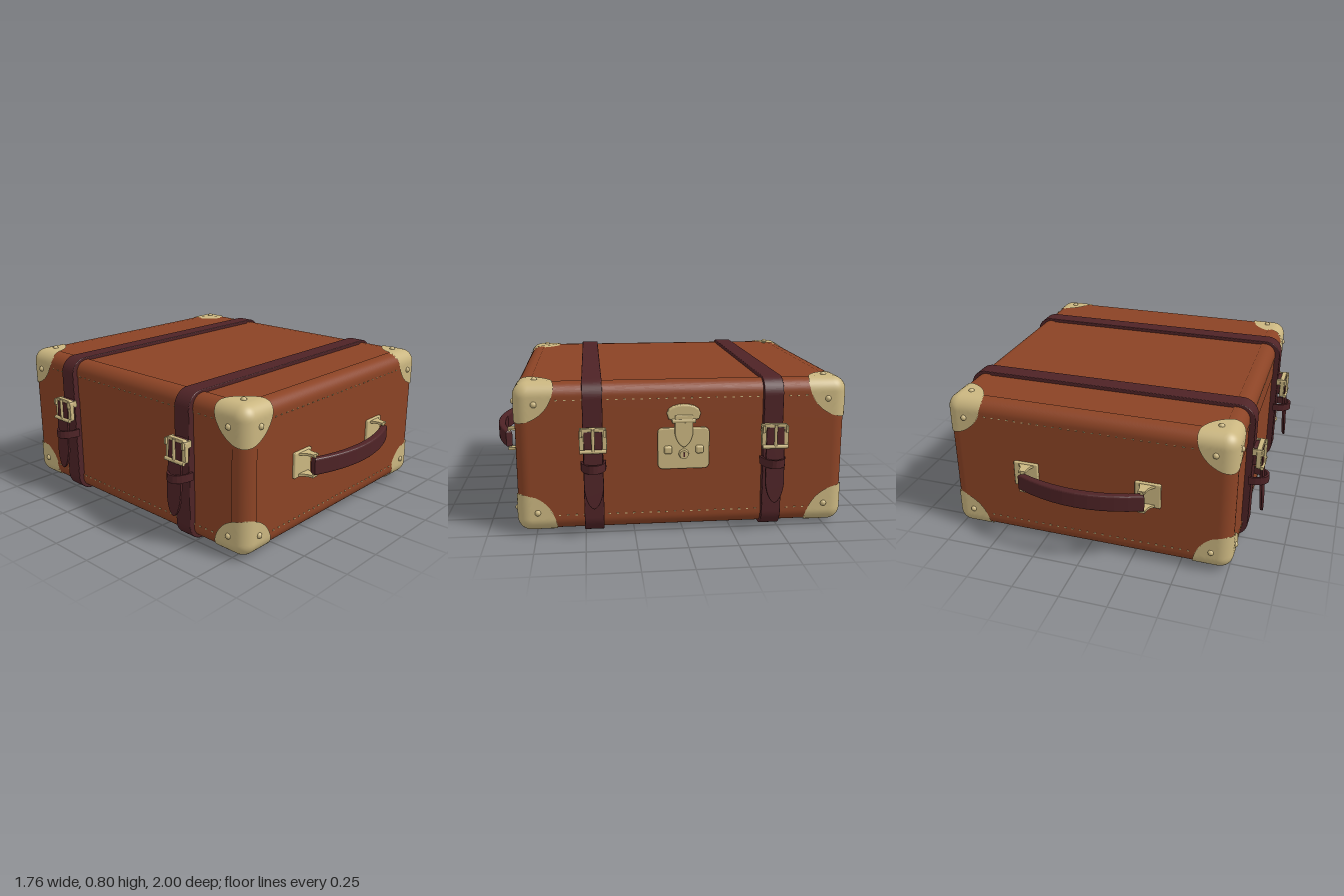
import * as THREE from 'three';
import { RoundedBoxGeometry } from 'three/addons/geometries/RoundedBoxGeometry.js';
import { mergeGeometries } from 'three/addons/utils/BufferGeometryUtils.js';

const mat = (name, color) => Object.assign(new THREE.MeshStandardMaterial({ color }), { name });
const H = [0.758, 0.375, 0.835], R = 0.06, CY = 0.39; // case half sizes, edge radius, centre height

// Wraps a grid of points of the sharp box onto the rounded case, raised by an offset.
function wrapPatch(nu, nv, fn) {
  const pos = [], nor = [], idx = [];
  for (let i = 0; i <= nu; i++) for (let j = 0; j <= nv; j++) {
    const { p, off } = fn(i / nu, j / nv, i, j);
    const q = p.map((v, k) => THREE.MathUtils.clamp(v, R - H[k], H[k] - R));
    const d = new THREE.Vector3(p[0] - q[0], p[1] - q[1], p[2] - q[2]).normalize();
    const a = d.toArray();
    pos.push(...q.map((v, k) => v + a[k] * (R + off)));
    nor.push(...a);
  }
  const at = (arr, i) => new THREE.Vector3().fromArray(arr, i * 3);
  const tri = (a, b, c) => {
    const A = at(pos, a);
    const n = at(pos, b).sub(A).cross(at(pos, c).sub(A));
    idx.push(...(n.dot(at(nor, a)) >= 0 ? [a, b, c] : [a, c, b]));
  };
  const w = nv + 1;
  for (let i = 0; i < nu; i++) for (let j = 0; j < nv; j++) {
    const a = i * w + j;
    tri(a, a + 1, a + w + 1);
    tri(a, a + w + 1, a + w);
  }
  const g = new THREE.BufferGeometry();
  g.setAttribute('position', new THREE.Float32BufferAttribute(pos, 3));
  g.setAttribute('normal', new THREE.Float32BufferAttribute(nor, 3));
  g.setIndex(idx);
  return g.translate(0, CY, 0);
}

function roundRect(w, h, r, cx = 0, cy = 0, Kind = THREE.Shape) {
  const s = new Kind(), x = w / 2 - r, y = h / 2 - r;
  s.absarc(cx + x, cy + y, r, 0, Math.PI / 2);
  s.absarc(cx - x, cy + y, r, Math.PI / 2, Math.PI);
  s.absarc(cx - x, cy - y, r, Math.PI, Math.PI * 1.5);
  s.absarc(cx + x, cy - y, r, Math.PI * 1.5, Math.PI * 2);
  s.closePath();
  return s;
}
const extrude = (shape, depth, bevel = 0) => new THREE.ExtrudeGeometry(shape, {
  depth: depth - 2 * bevel, bevelEnabled: bevel > 0, bevelSize: bevel, bevelThickness: bevel,
  bevelSegments: 3, curveSegments: 10 }).translate(0, 0, bevel);
// Shape drawn as (sideways, up), facing +x from x0.
const sideways = (shape, x0, depth, bevel) => extrude(shape, depth, bevel).rotateY(Math.PI / 2).translate(x0, 0, 0);
// Shape drawn as (x, z), rising from y0.
const flat = (shape, y0, depth, bevel) => extrude(shape, depth, bevel).rotateX(Math.PI / 2).translate(0, y0 + depth, 0);

export function createModel() {
  const leather = mat('tan leather', 0x8b4325), dark = mat('dark leather', 0x4e2326), brass = mat('brass', 0xcab680);
  const root = new THREE.Group();
  root.name = 'suitcase';
  const add = (parent, name, geo, m) => {
    const mesh = new THREE.Mesh(geo, m);
    mesh.name = name;
    parent.add(mesh);
    return mesh;
  };
  const signs = [-1, 1];

  // Case and slightly raised lid
  add(root, 'caseBody', new RoundedBoxGeometry(H[0] * 2, H[1] * 2, H[2] * 2, 5, R).translate(0, CY, 0), leather);
  add(root, 'lidBand', flat(roundRect(H[0] * 2 + 0.006, H[2] * 2 + 0.006, R), 0.56, 0.125), leather);

  // Raised trim folded over all twelve edges
  const trims = [], caps = [], domes = [];
  const W = 0.085;
  for (let a = 0; a < 3; a++) for (const sb of signs) for (const sc of signs) {
    const b = (a + 1) % 3, c = (a + 2) % 3;
    trims.push(wrapPatch(1, 24, (u, v, i, j) => {
      const t = (v * 2 - 1) * W, p = [];
      p[a] = (u * 2 - 1) * (H[a] - 0.08);
      p[b] = sb * (H[b] - Math.max(t, 0));
      p[c] = sc * (H[c] + Math.min(t, 0));
      return { p, off: j === 0 || j === 24 ? -0.002 : 0.006 };
    }));
  }
  add(root, 'edgeTrim', mergeGeometries(trims), leather);

  // Brass corner caps: a quarter disc on each of three faces, with a domed rivet
  for (const sx of signs) for (const sy of signs) for (const sz of signs) {
    const s = [sx, sy, sz];
    for (let a = 0; a < 3; a++) {
      const b = (a + 1) % 3, c = (a + 2) % 3;
      caps.push(wrapPatch(15, 14, (u, v, i) => {
        const rho = 0.192 * Math.min(1, i / 14), t = v * Math.PI / 2, p = [];
        p[a] = s[a] * H[a];
        p[b] = s[b] * (H[b] - rho * Math.cos(t));
        p[c] = s[c] * (H[c] - rho * Math.sin(t));
        return { p, off: i === 15 ? -0.002 : 0.012 };
      }));
      const o = [];
      o[a] = s[a] * (H[a] + 0.01);
      o[b] = s[b] * (H[b] - 0.095);
      o[c] = s[c] * (H[c] - 0.095);
      domes.push(new THREE.SphereGeometry(0.016, 10, 8).translate(o[0], o[1] + CY, o[2]));
    }
  }
  add(root, 'cornerCaps', mergeGeometries(caps), brass);
  add(root, 'cornerRivets', mergeGeometries(domes), brass);

  // Rows of tiny stitches along the trim on the four walls
  const stitches = [];
  for (const s of signs) for (const y of [0.092, 0.688]) {
    for (let t = -0.63; t <= 0.631; t += 0.042)
      stitches.push(new THREE.BoxGeometry(0.008, 0.005, 0.012).translate(s * (H[0] + 0.004), y, t));
    for (let t = -0.546; t <= 0.547; t += 0.042)
      stitches.push(new THREE.BoxGeometry(0.012, 0.005, 0.008).translate(t, y, s * (H[2] + 0.004)));
  }
  add(root, 'stitches', mergeGeometries(stitches), brass);

  // Straps around the case, with buckle, hanging tail and keeper on both sides
  const band = roundRect(1.578, 0.78, 0.085, 0, CY);
  band.holes.push(roundRect(1.5, 0.735, 0.06, 0, CY, THREE.Path));
  const frame = roundRect(0.13, 0.118, 0.018, 0, 0.498);
  frame.holes.push(roundRect(0.096, 0.08, 0.008, 0, 0.498, THREE.Path));
  const tail = new THREE.Shape();
  tail.moveTo(-0.042, 0.54);
  tail.lineTo(-0.046, 0.26);
  tail.quadraticCurveTo(-0.036, 0.17, 0, 0.155);
  tail.quadraticCurveTo(0.036, 0.17, 0.046, 0.26);
  tail.lineTo(0.042, 0.54);
  tail.closePath();
  const keeper = new THREE.Shape();
  keeper.moveTo(0.78, -0.064);
  keeper.bezierCurveTo(0.915, -0.064, 0.915, 0.064, 0.78, 0.064);
  keeper.closePath();
  const gap = new THREE.Path();
  gap.moveTo(0.79, -0.052);
  gap.bezierCurveTo(0.893, -0.052, 0.893, 0.052, 0.79, 0.052);
  gap.closePath();
  keeper.holes.push(gap);
  for (const z of [-0.455, 0.455]) {
    add(root, 'strap', extrude(band, 0.1, 0.004).translate(0, 0, z - 0.05), dark);
    for (const turn of [0, Math.PI]) {
      const g = new THREE.Group();
      g.name = 'buckleAssembly';
      g.position.z = z;
      g.rotation.y = turn;
      root.add(g);
      add(g, 'buckleFrame', sideways(frame, 0.812, 0.026, 0.003), brass);
      for (const s of signs)
        add(g, 'buckleLug', new THREE.BoxGeometry(0.06, 0.035, 0.012).translate(0.82, 0.535, s * 0.059), brass);
      add(g, 'bucklePin', new THREE.CylinderGeometry(0.008, 0.008, 0.118, 10).translate(0.848, 0.5, 0), brass);
      add(g, 'buckleBar', new THREE.CylinderGeometry(0.01, 0.01, 0.13, 10).rotateX(Math.PI / 2).translate(0.845, 0.445, 0), brass);
      add(g, 'strapLoop', new RoundedBoxGeometry(0.05, 0.11, 0.088, 2, 0.012).translate(0.805, 0.5, 0), dark);
      const t = add(g, 'strapTail', sideways(tail, 0, 0.014, 0.003).translate(0, -0.54, 0), dark);
      t.position.set(0.826, 0.54, 0);
      t.rotation.z = 0.06;
      add(g, 'strapKeeper', flat(keeper, 0.34, 0.042), dark);
    }
  }

  // Lock: plate, hasp with tongue, keyhole boss and knobs
  const lock = new THREE.Group();
  lock.name = 'lock';
  root.add(lock);
  add(lock, 'lockPlate', sideways(roundRect(0.25, 0.2, 0.02, 0, 0.43), 0.75, 0.028, 0.006), brass);
  const hasp = new THREE.Shape();
  hasp.moveTo(-0.07, 0.59);
  hasp.bezierCurveTo(-0.12, 0.67, 0.12, 0.67, 0.07, 0.59);
  hasp.quadraticCurveTo(0, 0.57, -0.07, 0.59);
  add(lock, 'haspPlate', sideways(hasp, 0.755, 0.032, 0.008), brass);
  const tongue = new THREE.Shape();
  tongue.moveTo(-0.04, 0.6);
  tongue.lineTo(-0.04, 0.51);
  tongue.quadraticCurveTo(-0.03, 0.46, 0, 0.445);
  tongue.quadraticCurveTo(0.03, 0.46, 0.04, 0.51);
  tongue.lineTo(0.04, 0.6);
  tongue.closePath();
  add(lock, 'haspTongue', sideways(tongue, 0.765, 0.026, 0.006), brass);
  add(lock, 'haspHinge', new THREE.CylinderGeometry(0.014, 0.014, 0.12, 12).rotateX(Math.PI / 2).translate(0.78, 0.575, 0), brass);
  add(lock, 'keyBoss', new THREE.CylinderGeometry(0.022, 0.028, 0.03, 18).rotateZ(-Math.PI / 2).translate(0.783, 0.403, 0), brass);
  add(lock, 'keyhole', new THREE.BoxGeometry(0.004, 0.022, 0.007).translate(0.798, 0.403, 0), dark);
  for (const s of signs)
    add(lock, 'lockKnob', new RoundedBoxGeometry(0.035, 0.042, 0.042, 3, 0.012).translate(0.778, 0.426, s * 0.08), brass);

  // Arched handles on brass brackets at both ends
  const arch = new THREE.Shape();
  arch.moveTo(-0.325, 0.922);
  arch.quadraticCurveTo(0, 1.058, 0.325, 0.922);
  arch.lineTo(0.32, 0.908);
  arch.quadraticCurveTo(0, 1.03, -0.32, 0.908);
  arch.closePath();
  const fin = new THREE.Shape();
  fin.moveTo(0.27, 0.835);
  fin.quadraticCurveTo(0.305, 0.855, 0.3, 0.918);
  fin.lineTo(0.338, 0.918);
  fin.quadraticCurveTo(0.335, 0.865, 0.39, 0.835);
  fin.closePath();
  for (const turn of [0, Math.PI]) {
    const g = new THREE.Group();
    g.name = 'handle';
    g.rotation.y = turn;
    root.add(g);
    add(g, 'grip', flat(arch, 0.342, 0.09, 0.01), dark);
    for (const side of [0, Math.PI]) {
      const b = new THREE.Group();
      b.name = 'handleBracket';
      if (side) b.scale.x = -1;
      g.add(b);
      add(b, 'bracketPlate', new RoundedBoxGeometry(0.135, 0.138, 0.02, 2, 0.006).translate(0.33, 0.388, 0.84), brass);
      for (const y of [0.326, 0.438]) add(b, 'bracketFin', flat(fin, y, 0.013), brass);
      add(b, 'bracketPin', new THREE.CylinderGeometry(0.009, 0.009, 0.12, 10).translate(0.319, 0.388, 0.911), brass);
    }
  }
  return root;
}
